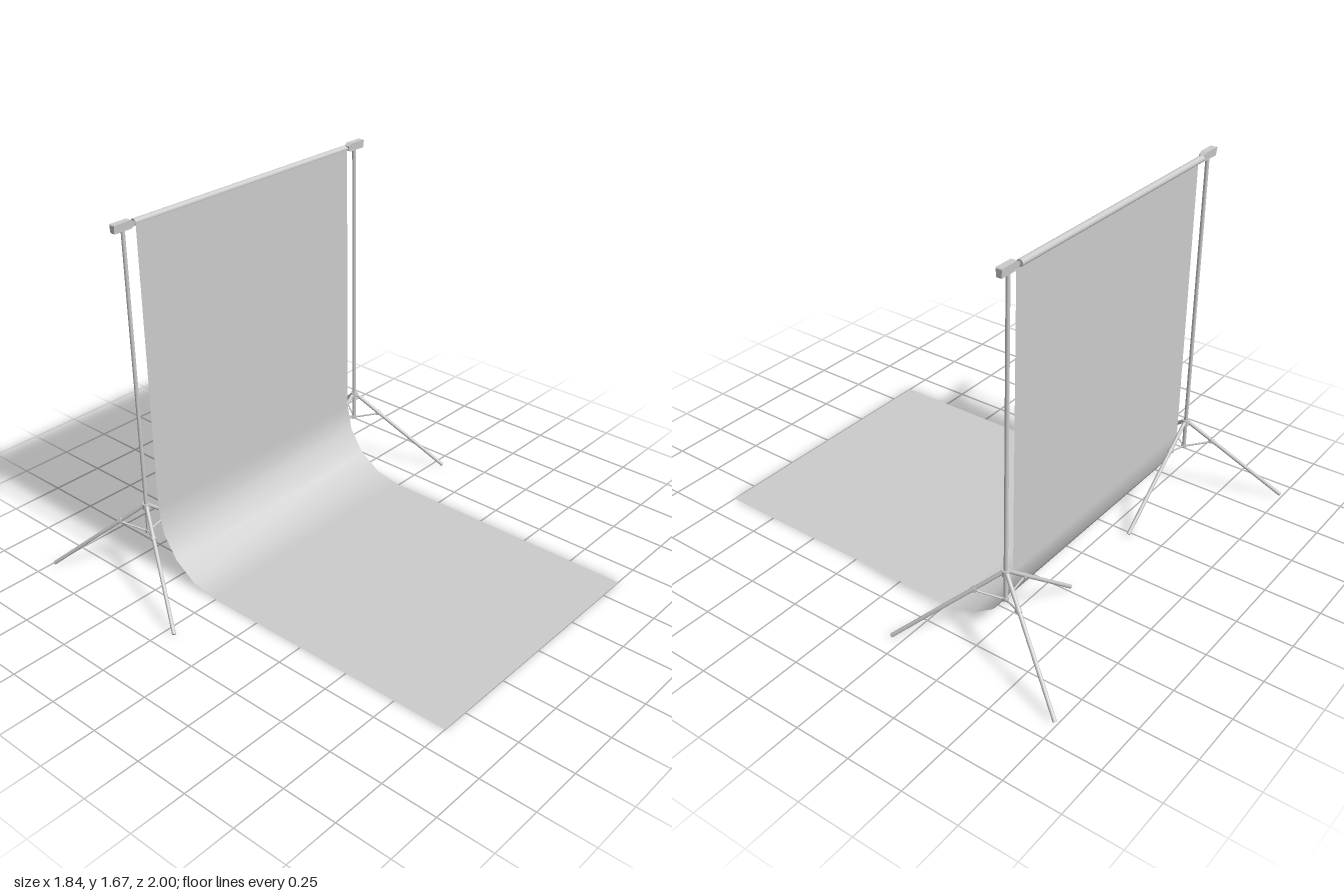
import * as THREE from 'three';

const STAND_X = 0.685, STAND_Z = -0.594;
const grey = new THREE.MeshStandardMaterial({ color: 0xcccccc });
const sheetGrey = new THREE.MeshStandardMaterial({ color: 0xcccccc, side: THREE.DoubleSide });

function add(parent, name, geometry, material = grey) {
  const mesh = new THREE.Mesh(geometry, material);
  mesh.name = name;
  parent.add(mesh);
  return mesh;
}

// Round rod between two points
function rod(parent, name, a, b, radius, sides = 12) {
  const from = new THREE.Vector3(...a), to = new THREE.Vector3(...b);
  const dir = to.clone().sub(from);
  const mesh = add(parent, name, new THREE.CylinderGeometry(radius, radius, dir.length(), sides));
  mesh.position.copy(from).add(to).multiplyScalar(0.5);
  mesh.quaternion.setFromUnitVectors(new THREE.Vector3(0, 1, 0), dir.normalize());
  return mesh;
}

// One leg with its brace, built along local +x
function makeLeg() {
  const leg = new THREE.Group();
  leg.name = 'leg';
  const top = [0.012, 0.367, 0], foot = [0.456, 0.009, 0];
  const at = t => top.map((v, i) => v + (foot[i] - v) * t);
  rod(leg, 'legTube', top, foot, 0.0085);
  rod(leg, 'legClamp', at(0.235), at(0.27), 0.0115);
  rod(leg, 'brace', [0.008, 0.239, 0], [0.119, 0.269, 0], 0.004, 8);
  const pin = rod(leg, 'bracePin', [0.119, 0.272, -0.012], [0.119, 0.272, 0.012], 0.006, 8);
  pin.name = 'bracePin';
  return leg;
}

// Crossbar holder: bevelled block narrowing towards the roll
function headGeometry() {
  const shape = new THREE.Shape([
    [0.048, -0.019], [0.051, -0.014], [0.051, 0.015], [0.046, 0.019],
    [-0.034, 0.019], [-0.052, 0.009], [-0.052, -0.01], [-0.036, -0.019],
  ].map(p => new THREE.Vector2(...p)));
  const geo = new THREE.ExtrudeGeometry(shape, { depth: 0.028, bevelEnabled: false });
  geo.translate(0, 0, -0.014);
  // Slimmer underside
  const p = geo.attributes.position;
  for (let i = 0; i < p.count; i++) if (p.getY(i) < 0) p.setZ(i, p.getZ(i) * 0.78);
  geo.computeVertexNormals();
  return geo;
}

// Tripod stand on the side given by sign
function makeStand(sign) {
  const stand = new THREE.Group();
  stand.name = sign > 0 ? 'leftStand' : 'rightStand';
  rod(stand, 'pole', [0, 0.235, 0], [0, 1.64, 0], 0.0085, 16);
  rod(stand, 'upperCollar', [0, 0.352, 0], [0, 0.378, 0], 0.016, 16);
  rod(stand, 'lowerCollar', [0, 0.233, 0], [0, 0.247, 0], 0.0125, 16);
  for (const degrees of [60, 180, 300]) {
    const leg = makeLeg();
    // Two legs splay outwards, the third points under the backdrop
    leg.rotation.y = THREE.MathUtils.degToRad(sign > 0 ? degrees : degrees + 180);
    stand.add(leg);
  }
  const head = add(stand, 'crossbarHolder', headGeometry());
  head.position.set(sign * 0.001, 1.648, 0);
  if (sign < 0) head.rotation.y = Math.PI;
  stand.position.set(sign * STAND_X, 0, STAND_Z);
  return stand;
}

// Backdrop sheet: hangs down, sweeps round, runs along the floor
function sheetGeometry(halfWidth) {
  const path = [[1.648, -0.585]]; // [y, z]
  const steps = 4, ry = 0.328, rz = 0.325;
  for (let i = 0; i <= steps; i++) {
    const a = (i / steps) * Math.PI / 2;
    path.push([0.002 + ry * (1 - Math.sin(a)), -0.26 - rz * Math.cos(a)]);
  }
  path.push([0.002, 1]);
  const geo = new THREE.PlaneGeometry(1, 1, 1, path.length - 1);
  const p = geo.attributes.position;
  path.forEach(([y, z], i) => {
    p.setXYZ(i * 2, -halfWidth, y, z);
    p.setXYZ(i * 2 + 1, halfWidth, y, z);
  });
  geo.computeVertexNormals();
  // Keep the straight runs evenly shaded
  const n = geo.attributes.normal;
  for (const k of [0, 1, 2, 3]) n.setXYZ(k, 0, 0, 1);
  for (let k = p.count - 4; k < p.count; k++) n.setXYZ(k, 0, 1, 0);
  return geo;
}

export function createModel() {
  const model = new THREE.Group();
  model.name = 'backdropSet';
  model.add(makeStand(1), makeStand(-1));
  // Crossbar through the paper roll
  rod(model, 'crossbar', [-0.66, 1.645, STAND_Z], [0.66, 1.645, STAND_Z], 0.008, 16);
  rod(model, 'roll', [-0.626, 1.646, -0.599], [0.626, 1.646, -0.599], 0.0145, 24);
  add(model, 'backdropSheet', sheetGeometry(0.626), sheetGrey);
  return model;
}
